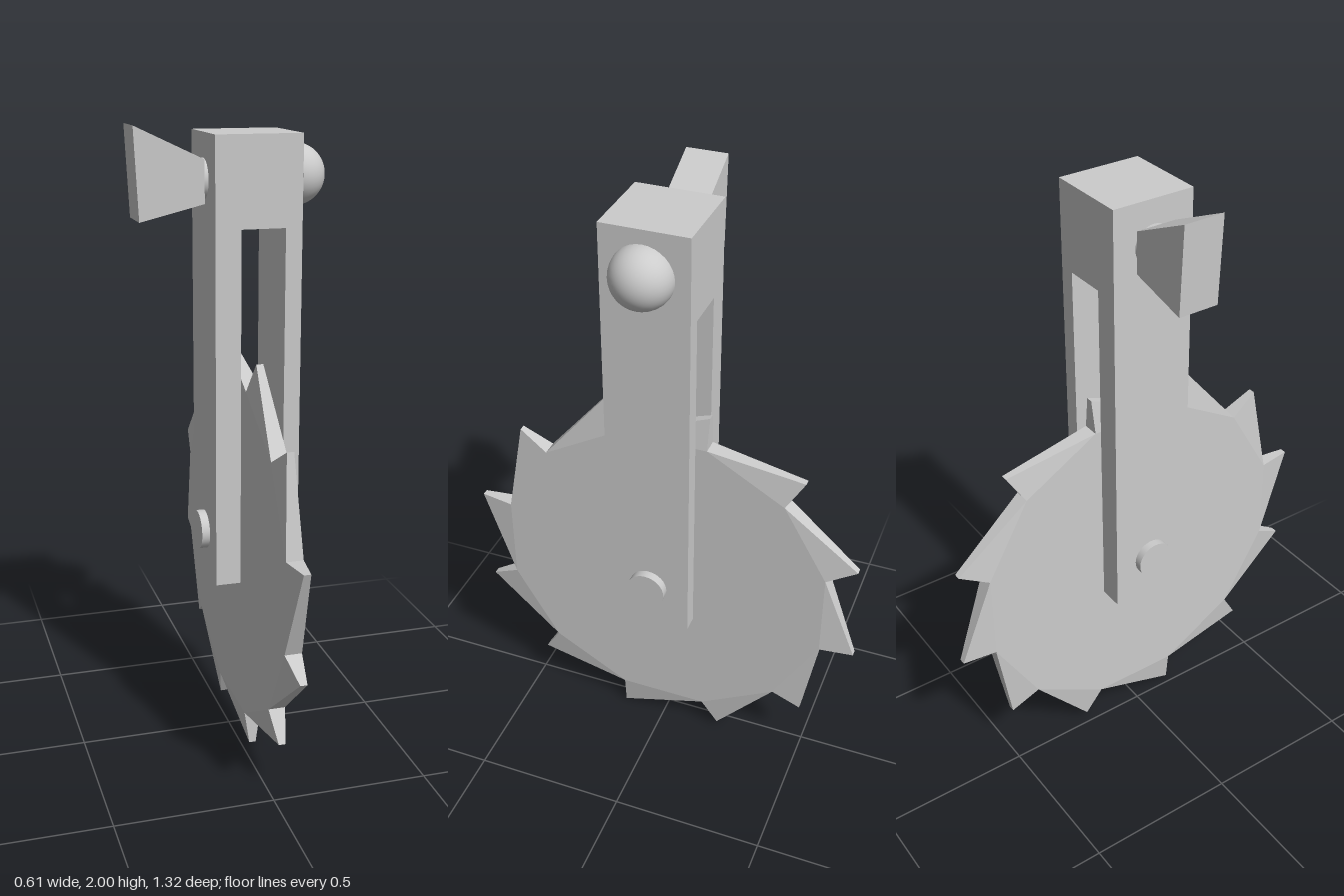
import * as THREE from 'three';

const grey = new THREE.MeshStandardMaterial({ color: 0xcccccc });
const flat = new THREE.MeshStandardMaterial({ color: 0xcccccc, flatShading: true });

function add(group, name, geometry, x = 0, y = 0, material = grey) {
  const mesh = new THREE.Mesh(geometry, material);
  mesh.name = name;
  mesh.position.set(x, y, 0);
  group.add(mesh);
  return mesh;
}

// Outline in x/y, extruded symmetrically about z = 0
function slab(points, depth) {
  const shape = new THREE.Shape(points.map(([x, y]) => new THREE.Vector2(x, y)));
  return new THREE.ExtrudeGeometry(shape, { depth, bevelEnabled: false }).translate(0, 0, -depth / 2);
}

// Cylinder lying along x between x0 and x1
function rod(radius, x0, x1) {
  return new THREE.CylinderGeometry(radius, radius, x1 - x0, 32)
    .rotateZ(-Math.PI / 2).translate((x0 + x1) / 2, 0, 0);
}

// Saw disc in the y/z plane: full thickness at the valleys, pinched at the tips
function sawBlade(teeth, valleyR, tipR, halfThick, halfTip) {
  const out = [];
  const at = (deg, r, x) => {
    const a = THREE.MathUtils.degToRad(deg);
    return [x, r * Math.sin(a), r * Math.cos(a)];
  };
  const tri = (...corners) => corners.forEach((c) => out.push(...c));
  const step = 360 / teeth;
  for (let i = 0; i < teeth; i++) {
    const hi = 15 + i * step, lo = hi - step, tip = hi - 2.2;
    const [h1, h0] = [halfThick, -halfThick].map((x) => at(hi, valleyR, x));
    const [l1, l0] = [halfThick, -halfThick].map((x) => at(lo, valleyR, x));
    const [t1, t0] = [halfTip, -halfTip].map((x) => at(tip, tipR, x));
    // Side faces and tooth flanks
    tri([halfThick, 0, 0], h1, l1);
    tri(l1, h1, t1);
    tri([-halfThick, 0, 0], l0, h0);
    tri(h0, l0, t0);
    // Rim: short steep edge, then long edge
    tri(t1, h1, h0);
    tri(t1, h0, t0);
    tri(l1, t1, t0);
    tri(l1, t0, l0);
  }
  const geometry = new THREE.BufferGeometry();
  geometry.setAttribute('position', new THREE.Float32BufferAttribute(out, 3));
  geometry.computeVertexNormals();
  return geometry;
}

export function createModel() {
  const model = new THREE.Group();
  model.name = 'sawBladeFork';

  // Two-pronged holder with a solid head
  add(model, 'fork', slab([
    [-0.08, 0.575], [0, 0.575], [0, 1.7], [0.138, 1.7],
    [0.138, 0.575], [0.19, 0.575], [0.19, 1.975], [-0.08, 1.975],
  ], 0.27));

  // Blade and the pin that carries it
  add(model, 'blade', sawBlade(12, 0.567, 0.675, 0.027, 0.011), 0.039, 0.661, flat);
  add(model, 'axle', rod(0.062, -0.106, 0.218), 0, 0.72);

  // Flared block on the right side of the head
  add(model, 'flaredBlock', slab([
    [-0.306, 2.0], [-0.292, 1.722], [-0.093, 1.77], [-0.093, 1.9],
  ], 0.131));
  add(model, 'blockCollar', rod(0.062, -0.095, -0.079), 0, 1.838);

  // Domed knob on the left side of the head
  const knob = new THREE.Group();
  knob.name = 'knob';
  knob.position.set(0, 1.845, 0);
  add(knob, 'knobCollar', rod(0.075, 0.185, 0.206));
  add(knob, 'knobDome', new THREE.SphereGeometry(0.095, 32, 16, 0, Math.PI * 2, 0, Math.PI / 2)
    .rotateZ(-Math.PI / 2), 0.205);
  add(knob, 'knobBase', new THREE.CircleGeometry(0.095, 32).rotateY(-Math.PI / 2), 0.205);
  model.add(knob);

  return model;
}
